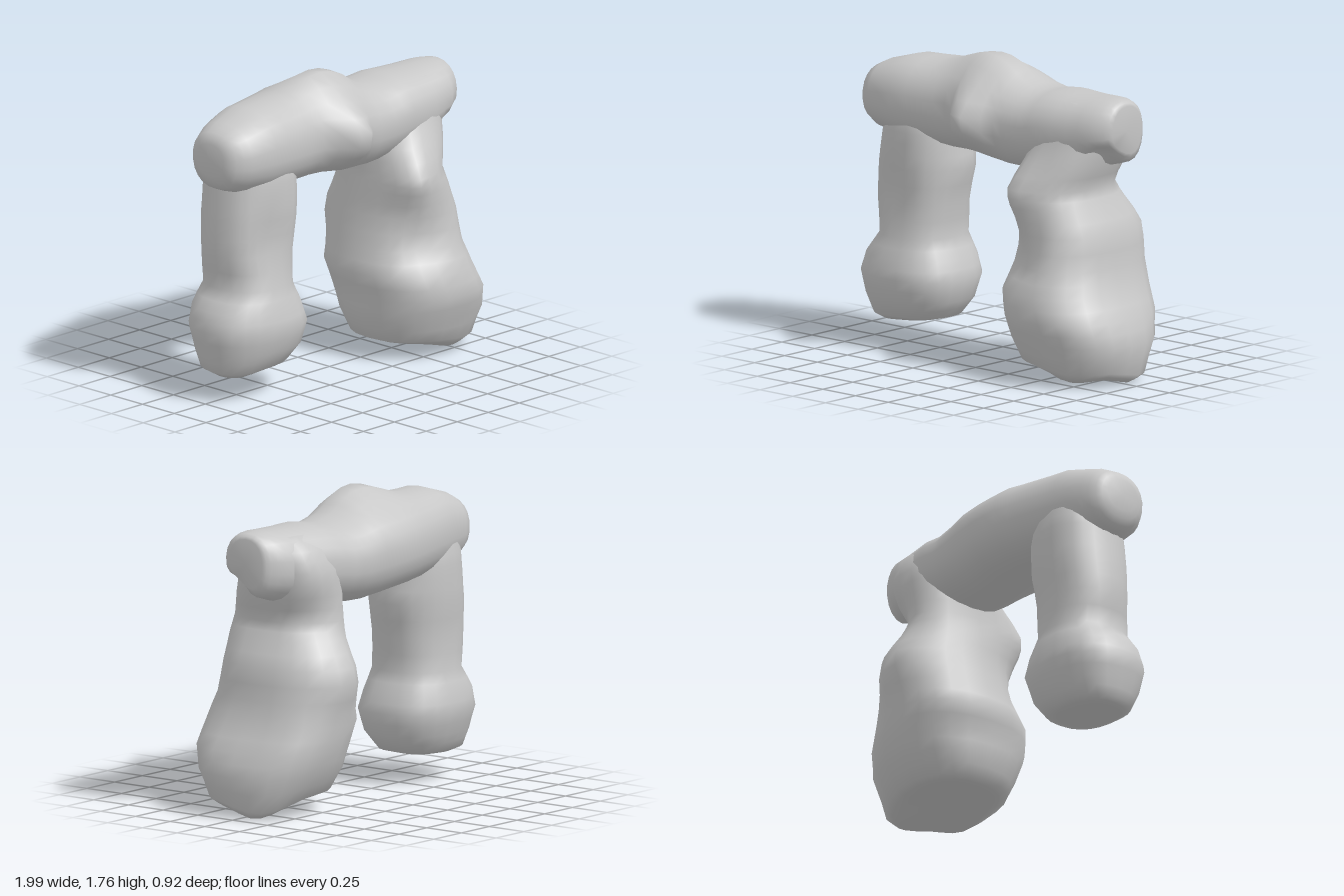
import * as THREE from 'three';

const SIDES = 22;

// Smooth repeatable unevenness, about -1..1
const rough = (x, y, z) =>
  (Math.sin(9 * x + 5 * y + 1.3) + Math.sin(8 * y - 7 * z + 0.4) + Math.sin(10 * z + 6 * x + 2.1)) / 3;

const squircle = (t, p) => Math.sign(t) * Math.pow(Math.abs(t), p);

// Insert a halfway section between each pair
const refine = (sections) => sections.flatMap((s, i) =>
  i ? [s.map((v, k) => (v + sections[i - 1][k]) / 2), s] : [s]);

// Skin a row of rounded sections: [along, min u, max u, min z, max z].
// u is x for upright rock and y for the lying span.
// Each swelling is [centre, push, reach] and moves the skin softly in or out.
function loft(coarse, upright, power, swellings) {
  const sections = refine(coarse);
  const rows = sections.length;
  const pos = [], index = [];
  const put = (s, u, z) => {
    const p = upright ? [u, s, z] : [s, u, z];
    const moved = [...p];
    for (const [centre, push, reach] of swellings) {
      const d2 = p.reduce((sum, v, k) => sum + ((v - centre[k]) / reach[k]) ** 2, 0);
      push.forEach((v, k) => { moved[k] += v * Math.exp(-d2); });
    }
    pos.push(...moved);
  };
  sections.forEach(([s, u0, u1, z0, z1]) => {
    for (let i = 0; i < SIDES; i++) {
      const a = (i / SIDES) * Math.PI * 2;
      const du = squircle(Math.cos(a), power) * (u1 - u0) / 2;
      const dz = squircle(Math.sin(a), power) * (z1 - z0) / 2 * (upright ? 1 : -1);
      const k = 1 + 0.045 * rough(u0 + du, s, dz);
      put(s, (u0 + u1) / 2 + du * k, (z0 + z1) / 2 + dz * k);
    }
  });
  for (let j = 0; j < rows - 1; j++) {
    for (let i = 0; i < SIDES; i++) {
      const a = j * SIDES + i, b = j * SIDES + (i + 1) % SIDES;
      const c = a + SIDES, d = b + SIDES;
      index.push(a, c, b, b, c, d);
    }
  }
  // Close both ends
  for (const [row, flip] of [[0, false], [rows - 1, true]]) {
    const [s, u0, u1, z0, z1] = sections[row];
    const mid = pos.length / 3;
    put(s, (u0 + u1) / 2, (z0 + z1) / 2);
    for (let i = 0; i < SIDES; i++) {
      const a = row * SIDES + i, b = row * SIDES + (i + 1) % SIDES;
      index.push(mid, ...(flip ? [b, a] : [a, b]));
    }
  }
  const g = new THREE.BufferGeometry();
  g.setAttribute('position', new THREE.Float32BufferAttribute(pos, 3));
  g.setIndex(index);
  g.computeVertexNormals();
  return g;
}

export function createModel() {
  const group = new THREE.Group();
  const stone = new THREE.MeshStandardMaterial({ color: 0xc8c8c8 });
  stone.name = 'grey stone';
  const add = (name, geometry) => {
    const mesh = new THREE.Mesh(geometry, stone);
    mesh.name = name;
    group.add(mesh);
  };

  // Slim pillar with a swollen foot
  add('slimPillar', loft([
    [0.16, -0.88, -0.55, -0.12, 0.12],
    [0.19, -0.94, -0.43, -0.21, 0.19],
    [0.29, -0.97, -0.35, -0.27, 0.25],
    [0.42, -1.00, -0.31, -0.31, 0.28],
    [0.53, -0.97, -0.34, -0.29, 0.26],
    [0.65, -0.87, -0.40, -0.25, 0.23],
    [0.85, -0.89, -0.39, -0.25, 0.22],
    [1.05, -0.88, -0.38, -0.28, 0.23],
    [1.20, -0.87, -0.37, -0.28, 0.22],
    [1.32, -0.86, -0.37, -0.27, 0.21],
    [1.50, -0.80, -0.45, -0.22, 0.17],
  ], true, 0.82, [
    [[-0.37, 1.06, -0.08], [0.04, 0, 0], [0.12, 0.1, 0.14]], // inner knob
    [[-0.85, 0.16, 0.05], [0, -0.02, 0], [0.15, 0.1, 0.2]], // outer heel
    [[-0.7, 0.95, 0.22], [0, 0, -0.04], [0.12, 0.2, 0.1]], // front hollow
  ]));

  // Broad pillar widening towards the ground
  add('broadPillar', loft([
    [0.09, 0.36, 0.86, -0.18, 0.26],
    [0.12, 0.29, 0.93, -0.27, 0.35],
    [0.25, 0.24, 0.98, -0.36, 0.41],
    [0.38, 0.22, 0.95, -0.40, 0.45],
    [0.52, 0.18, 0.88, -0.41, 0.43],
    [0.66, 0.21, 0.84, -0.39, 0.38],
    [0.85, 0.25, 0.82, -0.38, 0.35],
    [1.00, 0.27, 0.75, -0.35, 0.34],
    [1.10, 0.28, 0.71, -0.34, 0.32],
    [1.25, 0.28, 0.77, -0.33, 0.27],
    [1.40, 0.31, 0.80, -0.32, 0.22],
    [1.52, 0.35, 0.82, -0.27, 0.19],
    [1.60, 0.42, 0.80, -0.18, 0.12],
  ], true, 0.82, [
    [[0.86, 0.08, -0.08], [0.04, -0.09, 0], [0.15, 0.16, 0.22]], // outer toe
    [[0.72, 0.08, 0.24], [0, -0.06, 0.01], [0.18, 0.12, 0.12]], // front toe
    [[0.5, 0.78, -0.38], [0, 0, -0.09], [0.2, 0.17, 0.2]], // back bulge
    [[0.36, 1.09, 0.28], [-0.03, 0, 0.07], [0.13, 0.14, 0.16]], // inner shoulder
    [[0.38, 0.7, 0.38], [0.02, 0, -0.06], [0.13, 0.13, 0.15]], // front hollow
    [[0.66, 1.12, -0.3], [0, 0, 0.07], [0.15, 0.12, 0.15]], // back waist
  ]));

  // Bridging span with a raised crown
  add('span', loft([
    [-0.965, 1.34, 1.53, -0.10, 0.11],
    [-0.93, 1.26, 1.59, -0.16, 0.18],
    [-0.85, 1.23, 1.63, -0.20, 0.23],
    [-0.67, 1.20, 1.68, -0.26, 0.25],
    [-0.45, 1.19, 1.68, -0.33, 0.23],
    [-0.27, 1.18, 1.68, -0.37, 0.22],
    [-0.10, 1.17, 1.66, -0.38, 0.23],
    [0.06, 1.15, 1.65, -0.37, 0.24],
    [0.18, 1.15, 1.62, -0.36, 0.24],
    [0.30, 1.16, 1.61, -0.34, 0.23],
    [0.45, 1.18, 1.64, -0.31, 0.23],
    [0.65, 1.21, 1.64, -0.26, 0.22],
    [0.80, 1.24, 1.64, -0.23, 0.20],
    [0.88, 1.26, 1.63, -0.18, 0.15],
    [0.91, 1.31, 1.60, -0.14, 0.10],
  ], false, 0.88, [
    [[-0.08, 1.67, 0], [0, 0.125, 0], [0.23, 0.2, 0.16]], // crown
    [[-0.06, 1.42, 0.24], [0, 0, 0.16], [0.11, 0.17, 0.2]], // front knob
    [[0.85, 1.25, 0.1], [-0.04, 0.08, -0.02], [0.12, 0.12, 0.12]], // cut-away under the end
  ]));

  return group;
}
